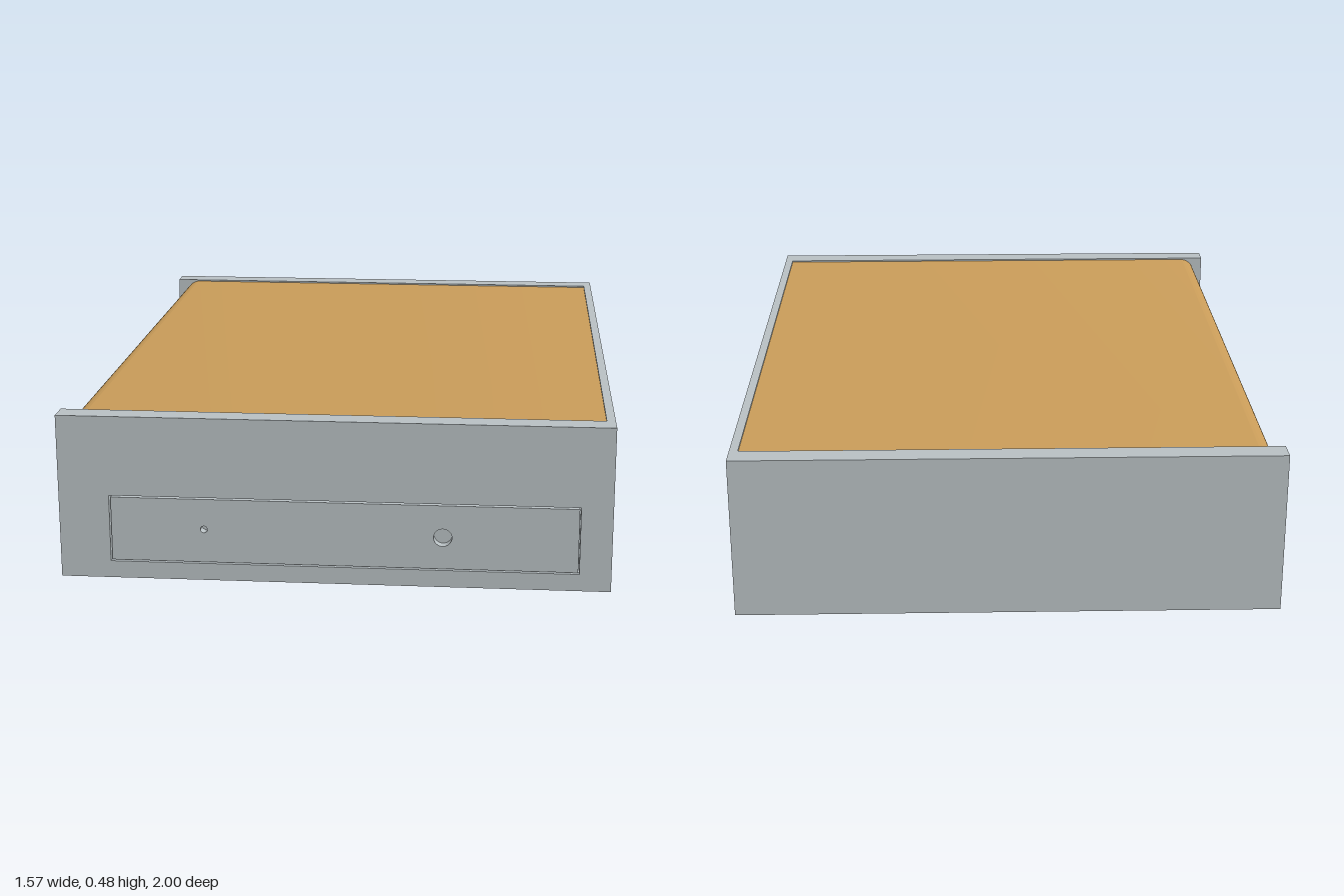
import * as THREE from 'three';
import { toCreasedNormals } from 'three/addons/utils/BufferGeometryUtils.js';

const W = 0.785, H = 0.48, D = 1, INNER = 0.93;

export function createModel() {
  const group = new THREE.Group();
  const grey = new THREE.MeshStandardMaterial({ color: 0xb8c0c3 });
  grey.name = 'case grey';
  const tan = new THREE.MeshStandardMaterial({ color: 0xc99c59 });
  tan.name = 'lid tan';

  const add = (name, geometry, material = grey) => {
    const mesh = new THREE.Mesh(geometry, material);
    mesh.name = name;
    group.add(mesh);
    return mesh;
  };
  // Box given by its two opposite corners
  const box = (name, x0, x1, y0, y1, z0, z1) => {
    const mesh = add(name, new THREE.BoxGeometry(x1 - x0, y1 - y0, z1 - z0));
    mesh.position.set((x0 + x1) / 2, (y0 + y1) / 2, (z0 + z1) / 2);
    return mesh;
  };
  const outline = (path, x0, x1, y0, y1) =>
    path.moveTo(x0, y0).lineTo(x1, y0).lineTo(x1, y1).lineTo(x0, y1).closePath();
  const rect = (...b) => outline(new THREE.Shape(), ...b);
  const rectHole = (...b) => outline(new THREE.Path(), ...b);
  const roundHole = (x, y, r) => new THREE.Path().absarc(x, y, r, 0, Math.PI * 2, true);
  const extrude = (shape, depth) => toCreasedNormals(
    new THREE.ExtrudeGeometry(shape, { depth, bevelEnabled: false, curveSegments: 16 }), 0.6);

  // Base plate with two finger holes underneath
  const base = rect(-W, W, -0.95, 0.95);
  for (const x of [-0.03, 0.06]) base.holes.push(roundHole(x, -0.68, 0.025));
  add('base', extrude(base, 0.035).rotateX(-Math.PI / 2));
  box('baseBacking', -0.1, 0.13, 0.01, 0.034, 0.6, 0.76);

  // Front wall with the drawer opening, plain back wall
  const front = rect(-W, W, 0, H);
  front.holes.push(rectHole(-0.64, 0.695, 0.05, 0.247));
  add('frontWall', extrude(front, 0.05)).position.z = 0.95;
  box('backWall', -W, W, 0, H, -D, -0.95);

  // Inner linings that leave a vertical track for the sliding lid
  for (const s of [1, -1]) {
    const z0 = s > 0 ? INNER : -0.95, z1 = s > 0 ? 0.95 : -INNER;
    box('trackOuterRail', -W, -0.758, 0.035, H, z0, z1);
    box('trackInnerRail', -0.722, -0.705, 0.035, H, z0, z1);
    box('trackCap', -0.758, -0.722, 0.42, H, z0, z1);
    box('wallTop', -0.705, 0.76, 0.4, H, z0, z1);
  }

  // Closed side wall
  box('leftWall', 0.76, W, 0, H, -0.95, 0.95);

  // Recessed inner wall on the open side, with a small slot
  const inner = rect(-INNER, INNER, 0.035, 0.445);
  inner.holes.push(rectHole(-0.085, 0.025, 0.075, 0.125));
  const innerWall = add('innerWall', extrude(inner, 0.04));
  innerWall.rotation.y = Math.PI / 2;
  innerWall.position.x = -0.705;
  box('slotBacking', -0.665, -0.655, 0.06, 0.14, -0.05, 0.11);

  // Recessed drawer front with a finger hole and a pin hole
  const drawer = rect(-0.637, 0.692, 0.052, 0.24);
  drawer.holes.push(roundHole(0.31, 0.145, 0.026), roundHole(-0.37, 0.15, 0.01));
  add('drawerFront', extrude(drawer, 0.03)).position.z = 0.963;
  box('drawerBacking', -0.64, 0.695, 0.05, 0.247, 0.945, 0.963);

  // Sliding lid that curves down over the open side
  const top = 0.475, edge = -0.755, r = 0.05, t = 0.028;
  const lid = new THREE.Shape()
    .moveTo(0.76, top)
    .lineTo(edge + r, top)
    .absarc(edge + r, top - r, r, Math.PI / 2, Math.PI, false)
    .lineTo(edge + t, top - r)
    .absarc(edge + r, top - r, r - t, Math.PI, Math.PI / 2, true)
    .lineTo(0.76, top - t)
    .closePath();
  add('slidingLid', extrude(lid, INNER * 2), tan).position.z = -INNER;

  return group;
}
